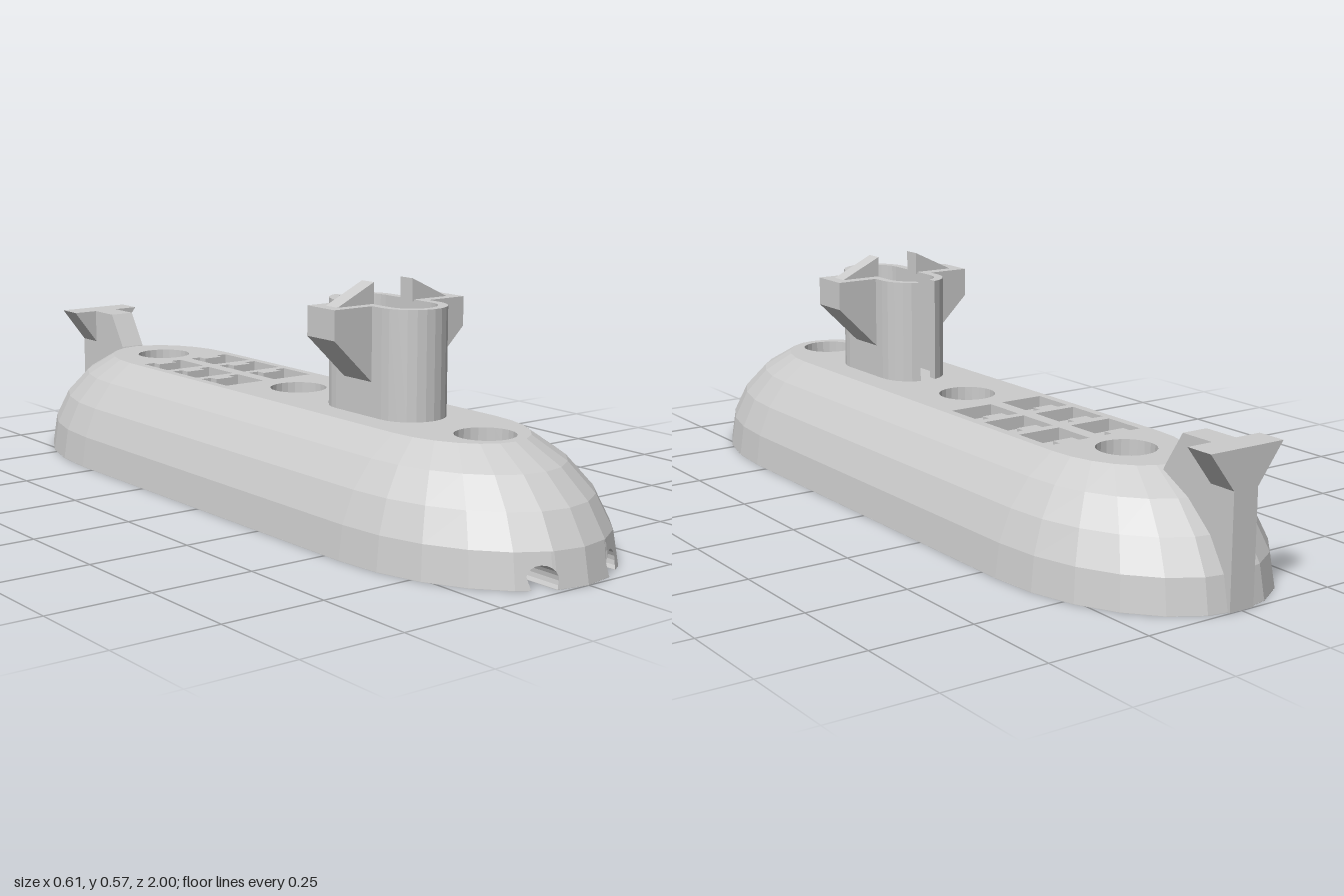
import * as THREE from 'three';

const R = 0.305, END = 0.45, MID = 0.55, STEP = Math.PI / 12;
const RINGS = [0, 1, 2, 3, 4].map(i => [Math.cos(i * STEP), R * Math.sin(i * STEP)]);
const DECK = RINGS[4][1];
const mat = new THREE.MeshStandardMaterial({ color: 0xcccccc, flatShading: true });
const shellMat = new THREE.MeshStandardMaterial({ color: 0xcccccc, flatShading: true, side: THREE.DoubleSide });

const v2 = ([x, y]) => new THREE.Vector2(x, y);
const makeShape = (pts, holes = []) => {
  const s = new THREE.Shape(pts.map(v2));
  s.holes = holes.map(h => new THREE.Path(h.map(v2)));
  return s;
};

function add(parent, name, geometry, material = mat) {
  const m = new THREE.Mesh(geometry, material);
  m.name = name;
  parent.add(m);
  return m;
}

// horizontal plate: outline and holes in (x, z), hanging down from y = top
function plate(pts, holes, top, depth) {
  return new THREE.ExtrudeGeometry(makeShape(pts, holes), { depth, bevelEnabled: false })
    .rotateX(Math.PI / 2).translate(0, top, 0);
}

// upright plate: outline in (x, y), between z0 and z1
function upright(pts, z0, z1) {
  return new THREE.ExtrudeGeometry(makeShape(pts), { depth: z1 - z0, bevelEnabled: false })
    .translate(0, 0, z0);
}

function quadGeometry(quads) {
  const pos = [];
  for (const [a, b, c, d] of quads) pos.push(...a, ...b, ...c, ...a, ...c, ...d);
  const g = new THREE.BufferGeometry();
  g.setAttribute('position', new THREE.Float32BufferAttribute(pos, 3));
  g.computeVertexNormals();
  return g;
}

// long outline with elliptical ends, scaled by f
function ring(f) {
  const pts = [];
  for (let k = 0; k < 26; k++) {
    const a = (k < 13 ? k : k - 1) * STEP;
    pts.push([R * f * Math.cos(a), (k < 13 ? MID : -MID) + END * f * Math.sin(a)]);
  }
  return pts;
}

const circle = (cz, r, n = 24) =>
  Array.from({ length: n }, (_, i) => [r * Math.cos(i * 2 * Math.PI / n), cz + r * Math.sin(i * 2 * Math.PI / n)]);
const square = (cz, h) => [[-h, cz - h], [h, cz - h], [h, cz + h], [-h, cz + h]];

// z of the faceted bow inside the lowest band
function bowZ(x, y) {
  const f = 1 - (1 - RINGS[1][0]) * y / RINGS[1][1];
  const X = Math.abs(x) / f / R;
  const a = Math.floor(Math.asin(X) / STEP + 1e-6) * STEP, b = a + STEP;
  const t = (X - Math.sin(a)) / (Math.sin(b) - Math.sin(a));
  return MID + END * f * THREE.MathUtils.lerp(Math.cos(a), Math.cos(b), t);
}

function buildHull(group) {
  const hull = new THREE.Group();
  hull.name = 'hull';
  group.add(hull);

  // faceted sides, leaving the lowest bow facets open for the tubes
  const quads = [];
  for (let i = 0; i < 4; i++) {
    const lo = ring(RINGS[i][0]), hi = ring(RINGS[i + 1][0]);
    const y0 = RINGS[i][1], y1 = RINGS[i + 1][1];
    for (let k = 0; k < 26; k++) {
      if (i === 0 && k >= 4 && k < 8) continue;
      const n = (k + 1) % 26;
      quads.push([[lo[n][0], y0, lo[n][1]], [lo[k][0], y0, lo[k][1]],
        [hi[k][0], y1, hi[k][1]], [hi[n][0], y1, hi[n][1]]]);
    }
  }

  // bow strip with two tube openings
  const TX = 0.1, TY = 0.02, TR = 0.031, TZ = 0.87, N = 14, top = RINGS[1][1];
  const al = Math.asin(TY / TR), cw = TR * Math.cos(al);
  const arcAt = cx => Array.from({ length: N + 1 }, (_, i) => {
    const a = Math.PI + al - (Math.PI + 2 * al) * i / N;
    return [cx + TR * Math.cos(a), Math.max(0, TY + TR * Math.sin(a))];
  });
  const cols = [];
  const edge = X => cols.push([[X, 0], X * RINGS[1][0]]);
  for (const s of [-1, 1]) {
    const arc = arcAt(s * TX);
    edge(s < 0 ? -R / 2 : 0);
    arc.forEach((p, i) => cols.push([p, s * TX + 0.046 * (2 * i / N - 1)]));
    for (let i = 0; i < N; i++) {
      const [a, b] = [arc[i], arc[i + 1]];
      quads.push([[...a, TZ], [...b, TZ], [...b, bowZ(...b)], [...a, bowZ(...a)]]);
    }
    add(hull, 'tubeEnd', new THREE.ShapeGeometry(makeShape(arc)).translate(0, 0, TZ), shellMat);
  }
  edge(R / 2);
  for (let i = 0; i + 1 < cols.length; i++) {
    const [[a, ha], [b, hb]] = [cols[i], cols[i + 1]];
    quads.push([[...a, bowZ(...a)], [...b, bowZ(...b)], [hb, top, bowZ(hb, top)], [ha, top, bowZ(ha, top)]]);
  }
  add(hull, 'hullSides', quadGeometry(quads), shellMat);

  // underside with tube slots and two square pockets
  const slot = cx => [[cx + cw, bowZ(cx + cw, 0)], [cx + cw, TZ], [cx - cw, TZ], [cx - cw, bowZ(cx - cw, 0)]];
  const base = ring(1);
  const outline = [...base.slice(0, 5), ...slot(TX), base[6], ...slot(-TX), ...base.slice(8)];
  const pockets = [0.66, -0.65];
  add(hull, 'underside', plate(outline, pockets.map(z => square(z, 0.08)), 0.001, 0.001));
  for (const z of pockets) {
    add(hull, 'pocketWalls', plate(square(z, 0.09), [square(z, 0.08)], 0.06, 0.059));
    add(hull, 'pocketCeiling', plate(square(z, 0.09), [], 0.066, 0.006));
  }

  // deck in layers: shallow hatches over deep round sockets
  const sockets = [-0.62, 0, 0.68].map(z => circle(z, 0.07));
  const hatches = [];
  for (const cx of [-0.074, 0.074]) for (const z of [-0.51, -0.373, -0.238]) {
    hatches.push([[-0.057, 0], [-0.027, 0], [-0.027, 0.025], [0.027, 0.025], [0.027, 0],
      [0.057, 0], [0.057, 0.112], [-0.057, 0.112]].map(([x, dz]) => [cx + x, z + dz]));
  }
  const deck = ring(RINGS[4][0]);
  add(hull, 'deck', plate(deck, [...sockets, ...hatches], DECK, 0.03));
  add(hull, 'hatchFloor', plate(deck, sockets, DECK - 0.03, 0.09));
  add(hull, 'socketFloor', plate(deck, [], DECK - 0.12, 0.01));
}

function buildTower(group) {
  const tower = new THREE.Group();
  tower.name = 'tower';
  group.add(tower);

  // hollow rounded wall with a slit at the back
  const wall = r => {
    const gap = Math.asin(0.022 / r), pts = [];
    const arc = (cz, a0, a1, n) => {
      for (let i = 0; i <= n; i++) {
        const a = a0 + (a1 - a0) * i / n;
        pts.push([r * Math.cos(a), cz + r * Math.sin(a)]);
      }
    };
    arc(0.26, -Math.PI / 2 + gap, 0, 5);
    arc(0.425, 0, Math.PI, 12);
    arc(0.26, Math.PI, Math.PI * 1.5 - gap, 5);
    return pts;
  };
  add(tower, 'towerWall', plate([...wall(0.085), ...wall(0.062).reverse()], [], 0.52, 0.52 - DECK + 0.005));

  // side wings with a small sloping fin on top
  for (const s of [1, -1]) {
    const flip = pts => pts.map(([x, y]) => [s * x, y]);
    const side = s > 0 ? 'left' : 'right';
    add(tower, side + 'Wing', upright(flip([[0.075, 0.336], [0.193, 0.45], [0.193, 0.52], [0.075, 0.52]]), 0.29, 0.39));
    add(tower, side + 'WingFin', upright(flip([[0.058, 0.515], [0.165, 0.519], [0.058, 0.57]]), 0.32, 0.363));
  }
}

function buildTail(group) {
  const tail = new THREE.Group();
  tail.name = 'tail';
  group.add(tail);
  // upright fin, outlined in (-z, y)
  const fin = upright([[0.78, 0.25], [0.785, DECK], [0.84, 0.35], [1, 0.35], [1, 0.001], [0.97, 0.001]], -0.033, 0.033);
  add(tail, 'tailFin', fin.rotateY(Math.PI / 2));
  // flared crosspiece
  add(tail, 'tailplane', upright([[-0.1, 0.35], [-0.033, 0.262], [0.033, 0.262], [0.1, 0.35]], -1, -0.93));
}

export function createModel() {
  const group = new THREE.Group();
  group.name = 'submarine';
  buildHull(group);
  buildTower(group);
  buildTail(group);
  return group;
}
